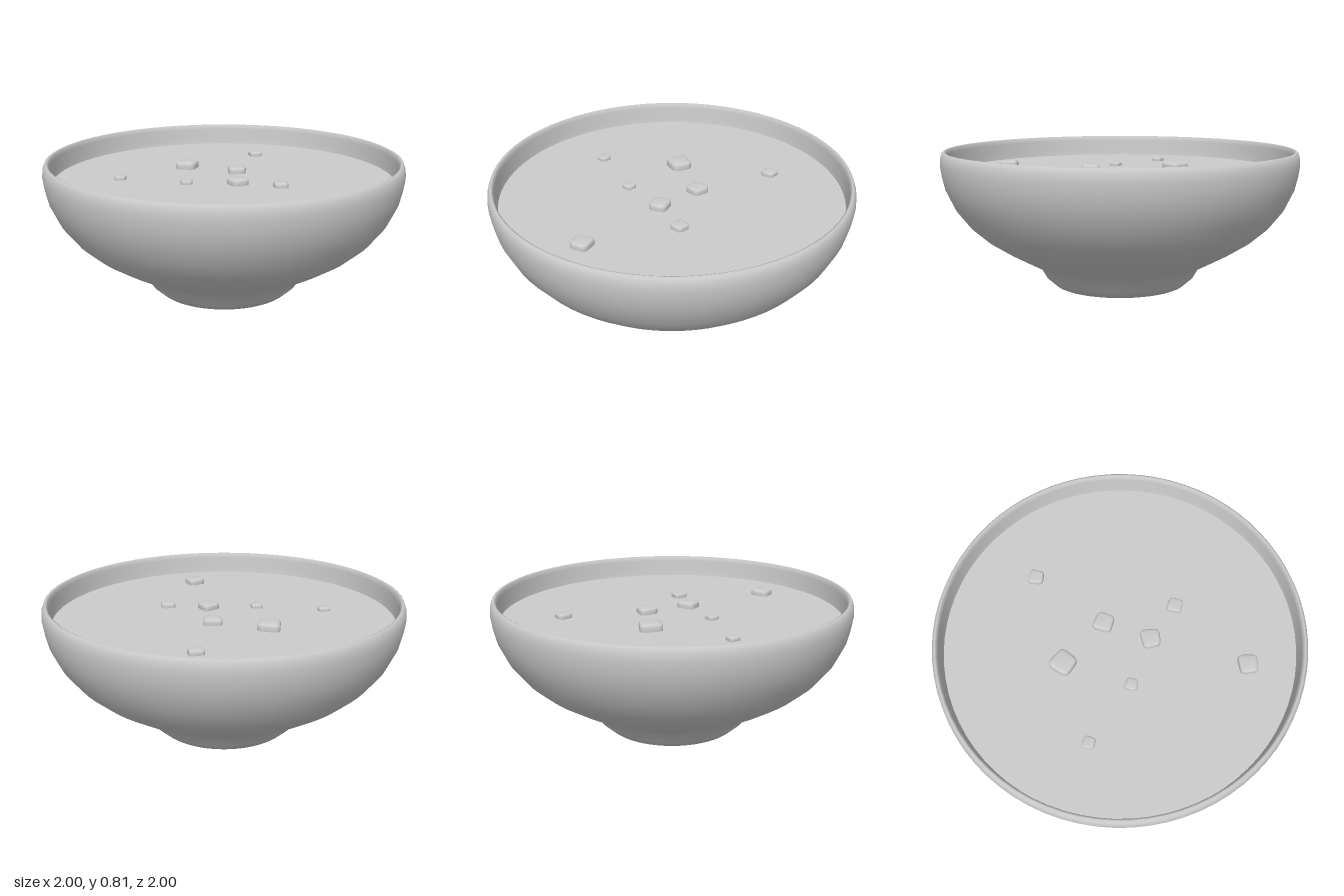
import * as THREE from 'three';
import { mergeVertices, toCreasedNormals } from 'three/addons/utils/BufferGeometryUtils.js';

const SURFACE_Y = 0.685;

// Lathe profile: underside, foot, curved wall, rounded rim, inner wall.
const PROFILE = [
  [0, 0], [0.15, 0.005], [0.28, 0.018], [0.38, 0.04], [0.43, 0.085], [0.465, 0.148],
  [0.56, 0.2], [0.66, 0.257], [0.765, 0.325], [0.85, 0.4], [0.925, 0.497], [0.975, 0.605],
  [0.992, 0.68], [1, 0.74], [0.996, 0.78], [0.986, 0.805], [0.976, 0.81], [0.966, 0.805],
  [0.962, 0.78], [0.958, 0.72], [0.95, 0.66], [0.93, 0.58],
];

// Chunks: x, z, size, turn in degrees.
const CHUNKS = [
  [-0.33, -0.01, 1.2, -44], [-0.04, -0.14, 1.0, -60], [0.16, 0.045, 1.0, 0], [0.36, -0.08, 0.78, -63],
  [-0.28, -0.54, 0.78, -72], [-0.04, 0.245, 0.63, -63], [-0.37, 0.45, 0.63, -66], [0.58, 0.385, 1.0, 4],
];

// Tapered four-sided lump with softened edges, lying flat with its top up.
function chunkGeometry() {
  const bevel = 0.014;
  const corners = [[-0.037, -0.058], [0.059, -0.026], [0.034, 0.058], [-0.053, 0.043]]
    .map(([x, y]) => new THREE.Vector2(x, y).multiplyScalar(0.77));
  // Round each corner with a short curve.
  const shape = new THREE.Shape();
  corners.forEach((c, i) => {
    const a = c.clone().lerp(corners[(i + 3) % 4], 0.18);
    const b = c.clone().lerp(corners[(i + 1) % 4], 0.18);
    if (i === 0) shape.moveTo(a.x, a.y);
    else shape.lineTo(a.x, a.y);
    shape.quadraticCurveTo(c.x, c.y, b.x, b.y);
  });
  shape.closePath();
  const geo = new THREE.ExtrudeGeometry(shape, {
    depth: 0.03, bevelEnabled: true, bevelSize: bevel, bevelThickness: bevel, bevelSegments: 3, curveSegments: 3,
  });
  geo.rotateX(Math.PI / 2);
  geo.translate(0, 0.02, 0);
  geo.deleteAttribute('normal');
  geo.deleteAttribute('uv');
  return toCreasedNormals(mergeVertices(geo), 0.7);
}

export function createModel() {
  const model = new THREE.Group();
  model.name = 'bowlOfSoup';
  const grey = new THREE.MeshStandardMaterial({ color: 0xcccccc });
  const add = (name, geometry) => {
    const mesh = new THREE.Mesh(geometry, grey);
    mesh.name = name;
    model.add(mesh);
    return mesh;
  };

  // Bowl with foot and rim
  add('bowl', new THREE.LatheGeometry(PROFILE.map(([x, y]) => new THREE.Vector2(x, y)), 72));

  // Liquid surface
  const soup = add('soup', new THREE.CircleGeometry(0.954, 72).rotateX(-Math.PI / 2));
  soup.position.y = SURFACE_Y;

  // Floating chunks
  const chunk = chunkGeometry();
  CHUNKS.forEach(([x, z, size, turn], i) => {
    const mesh = add(`chunk${i + 1}`, chunk);
    mesh.position.set(x, SURFACE_Y, z);
    mesh.rotation.y = -THREE.MathUtils.degToRad(turn);
    mesh.scale.setScalar(size);
  });
  return model;
}
